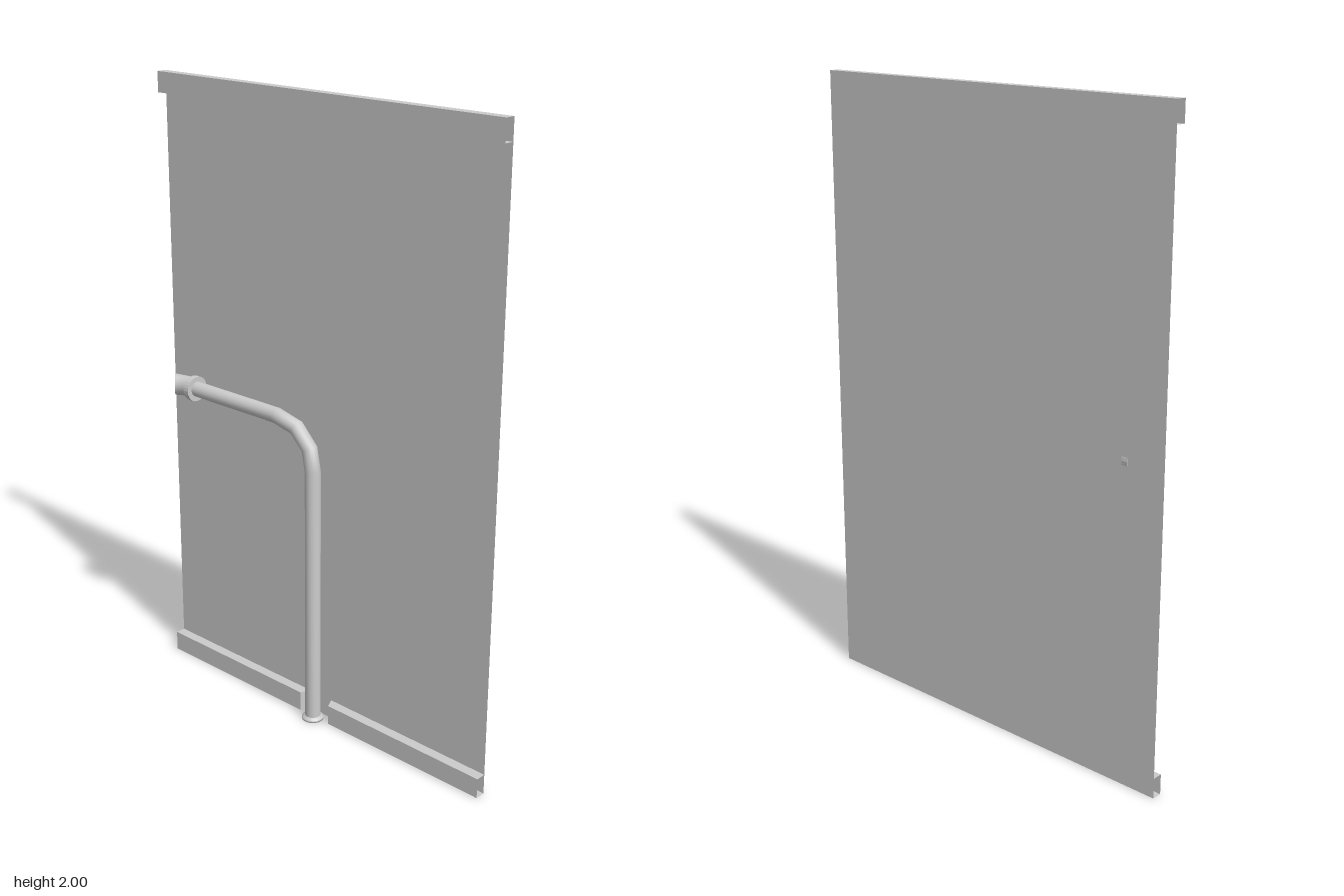
import * as THREE from 'three';

const material = new THREE.MeshStandardMaterial({ color: 0xcccccc, side: THREE.DoubleSide });
const BACK = -0.039, FRONT = -0.006, HALF = 0.665, LIP = 0.065;

function mesh(name, geometry) {
  const m = new THREE.Mesh(geometry, material);
  m.name = name;
  return m;
}

function build(positions, index, smooth) {
  let g = new THREE.BufferGeometry();
  g.setAttribute('position', new THREE.Float32BufferAttribute(positions, 3));
  g.setIndex(index);
  if (!smooth) g = g.toNonIndexed();
  g.computeVertexNormals();
  return g;
}

// Round pipe through rings [x, y, z, radius, tangentX, tangentY, tangentZ];
// side is the fixed ring axis perpendicular to the bend plane.
function pipe(rings, side, sides = 20) {
  const pos = [], index = [];
  rings.forEach(([x, y, z, r, tx, ty, tz], i) => {
    const n = new THREE.Vector3(tx, ty, tz).normalize().cross(side);
    for (let j = 0; j < sides; j++) {
      const a = (j / sides) * Math.PI * 2;
      const p = new THREE.Vector3(x, y, z)
        .addScaledVector(side, r * Math.cos(a)).addScaledVector(n, r * Math.sin(a));
      pos.push(p.x, p.y, p.z);
      if (i) {
        const k = (j + 1) % sides, lo = (i - 1) * sides, hi = i * sides;
        index.push(lo + j, lo + k, hi + j, lo + k, hi + k, hi + j);
      }
    }
  });
  return build(pos, index, true);
}

// Folded sheet: a [y, z] profile swept between two x limits that may vary with z
function fold(profile, x0, x1) {
  const pos = [], index = [];
  profile.forEach(([y, z], i) => {
    pos.push(x0(z), y, z, x1(z), y, z);
    if (i) {
      const k = i * 2;
      index.push(k - 2, k - 1, k, k - 1, k + 1, k);
    }
  });
  return build(pos, index, false);
}

export function createModel() {
  const group = new THREE.Group();

  // Thin back sheet
  const panel = mesh('backPanel', new THREE.PlaneGeometry(HALF * 2, 2));
  panel.position.set(0, 1, BACK);
  group.add(panel);

  // Folded upper edge, open at its ends
  const top = [[2, BACK], [2, FRONT], [2 - LIP, FRONT], [2 - LIP, BACK]];
  group.add(mesh('topFlange', fold(top, () => -HALF, () => HALF)));

  // Folded lower edge in two halves, with a slanted notch around the pipe
  const bottom = [[0, BACK], [0, FRONT], [LIP, FRONT], [LIP, BACK]];
  const notch = z => (z === FRONT ? 0.062 : 0.045);
  for (const s of [-1, 1]) {
    group.add(mesh(s < 0 ? 'bottomFlangeRight' : 'bottomFlangeLeft',
      fold(bottom, z => s * notch(z), () => s * HALF)));
    const wall = bottom.flatMap(([y, z]) => [s * notch(z), y, z]);
    group.add(mesh('notchWall', build(wall, [0, 1, 2, 0, 2, 3], false)));
  }

  // Bent pipe
  const r = 0.025;
  group.add(mesh('bentPipe', pipe([
    [0, 0, 0, r, 0, 1, 0],
    [0, 0.86, 0, r, -0.08, 1, 0],
    [-0.014, 0.93, 0, r, -0.5, 1, 0],
    [-0.068, 0.985, 0, r, -1, 0.5, 0],
    [-0.155, 1.004, 0, r, -1, 0.08, 0],
    [-0.54, 1.004, 0, r, -1, 0, 0],
  ], new THREE.Vector3(0, 0, 1))));

  // Foot ring at the lower end
  const foot = [[0.023, 0], [0.035, 0], [0.035, 0.007], [0.025, 0.013]]
    .map(p => new THREE.Vector2(...p));
  group.add(mesh('footRing', new THREE.LatheGeometry(foot, 24)));

  // Collar around the upper end
  const ring = [[0.024, 0], [0.041, 0], [0.041, 0.02], [0.033, 0.02]]
    .map(p => new THREE.Vector2(...p));
  const collar = mesh('collar', new THREE.LatheGeometry(ring, 24).toNonIndexed());
  collar.geometry.computeVertexNormals();
  collar.rotation.z = Math.PI / 2;
  collar.position.set(-0.516, 1.004, 0);
  group.add(collar);

  // Short open nozzle turning toward the front
  group.add(mesh('nozzle', pipe([
    [-0.53, 1.004, 0, 0.034, -1, 0, 0],
    [-0.56, 1.004, 0.001, 0.033, -1, 0, 0.12],
    [-0.584, 1.004, 0.006, 0.033, -1, 0, 0.5],
    [-0.605, 1.004, 0.015, 0.035, -1, 0, 1],
  ], new THREE.Vector3(0, 1, 0))));

  return group;
}
